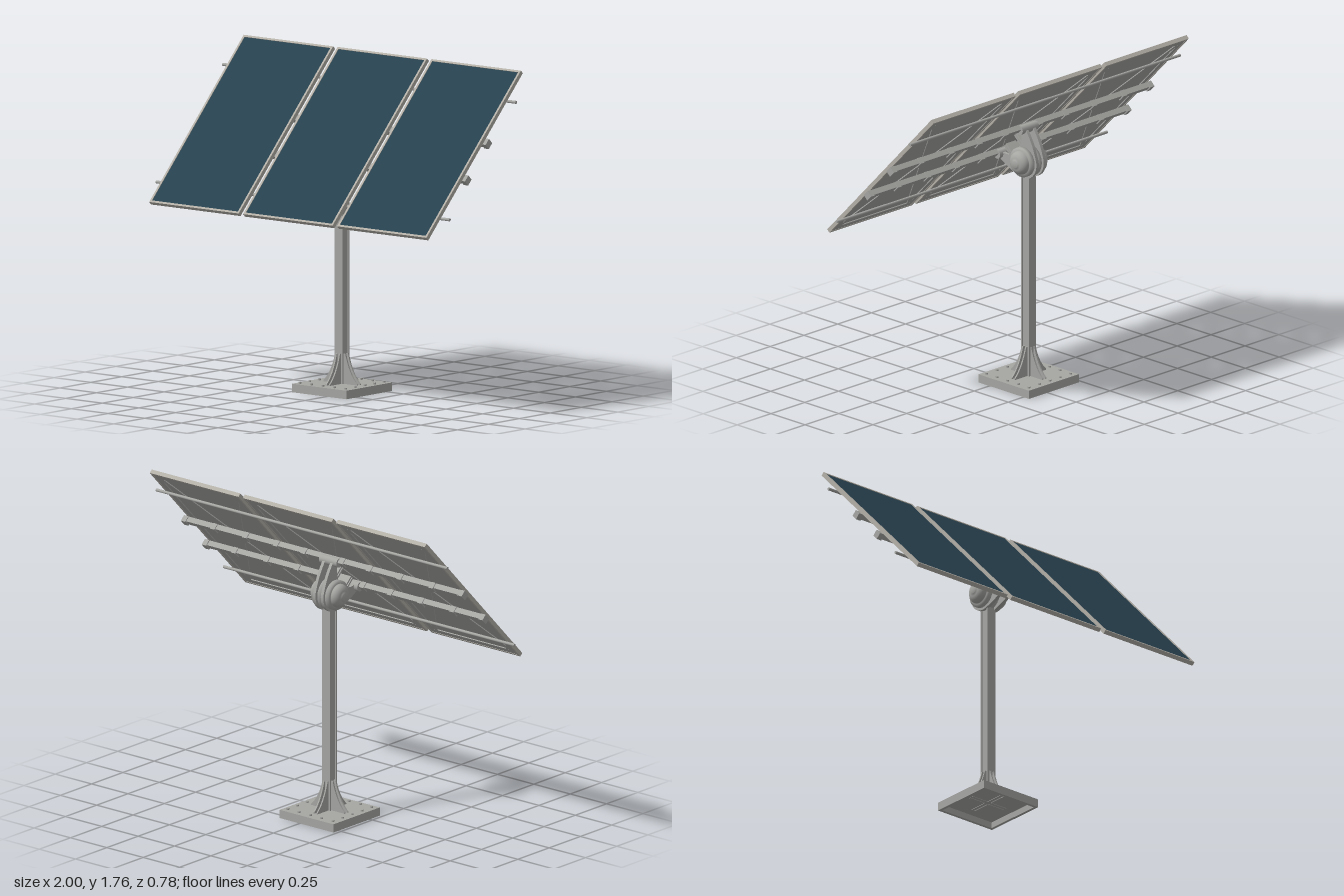
import * as THREE from 'three';

const steel = new THREE.MeshStandardMaterial({ color: 0xa6a6a3 });
steel.name = 'galvanised steel';
const frameMetal = new THREE.MeshStandardMaterial({ color: 0xb4b0a8 });
frameMetal.name = 'frame aluminium';
const glass = new THREE.MeshStandardMaterial({ color: 0x27414e });
glass.name = 'solar glass';

const CX = -0.047, CZ = -0.105, PIVOT_Y = 1.228; // post axis and tilt axis
const TILT = -0.768;

function add(parent, name, geo, mat, x = 0, y = 0, z = 0) {
  const m = new THREE.Mesh(geo, mat);
  m.name = name;
  m.position.set(x, y, z);
  parent.add(m);
  return m;
}
const box = (w, h, d) => new THREE.BoxGeometry(w, h, d);

// Rectangular ring, centred on its own depth
function ring(w, h, rim, depth) {
  const rect = (P, a, b) => new P([[-a, -b], [a, -b], [a, b], [-a, b]].map(p => new THREE.Vector2(...p)));
  const s = rect(THREE.Shape, w / 2, h / 2);
  s.holes.push(rect(THREE.Path, w / 2 - rim, h / 2 - rim));
  return new THREE.ExtrudeGeometry(s, { depth, bevelEnabled: false }).translate(0, 0, -depth / 2);
}

// Hollow foot with bolts, ribs and the beam post
function makePost() {
  const g = new THREE.Group();
  g.name = 'post';
  g.position.set(CX, 0, CZ);
  const W = 0.37, H = 0.045;
  add(g, 'basePlate', box(W, 0.012, W), steel, 0, H - 0.006, 0);
  add(g, 'baseSkirt', ring(W, W, 0.016, H - 0.012).rotateX(Math.PI / 2), steel, 0, (H - 0.012) / 2, 0);

  const bolt = new THREE.CylinderGeometry(0.008, 0.008, 0.01, 6);
  for (let i = 0; i < 4; i++) {
    const side = new THREE.Group();
    side.name = 'baseSide';
    side.rotation.y = i * Math.PI / 2;
    g.add(side);
    for (let k = 0; k < 4; k++) add(side, 'baseBolt', bolt, steel, -0.155 + k * 0.0775, H + 0.004, 0.155);
    // paired ribs with a concave outer edge
    const s = new THREE.Shape();
    s.moveTo(0.015, 0.03);
    s.lineTo(0.115, 0.03);
    s.lineTo(0.115, H + 0.006);
    s.quadraticCurveTo(0.06, 0.1, 0.034, 0.205);
    s.lineTo(0.015, 0.205);
    for (const x of [-0.011, 0.011]) {
      const rib = new THREE.ExtrudeGeometry(s, { depth: 0.008, bevelEnabled: false, curveSegments: 8 });
      add(side, 'baseRib', rib.translate(0, 0, -0.004).rotateY(-Math.PI / 2), steel, x, 0, 0);
    }
  }

  const top = 1.17, h = top - H;
  add(g, 'postWeb', box(0.04, h, 0.05), steel, 0, H + h / 2, 0);
  for (const s of [-1, 1]) add(g, 'postFlange', box(0.055, h, 0.008), steel, 0, H + h / 2, s * 0.024);
  return g;
}

// Tilt drive: drum, discs and domed end caps along x
function makeDrive() {
  const g = new THREE.Group();
  g.name = 'tiltDrive';
  g.position.set(CX, PIVOT_Y, CZ);
  const profile = [[0, -0.106], [0.02, -0.106], [0.02, -0.1]];
  for (let i = 1; i <= 6; i++) {
    const a = i / 6 * Math.PI / 2 * 0.95 + 0.05;
    profile.push([0.02 + 0.043 * Math.sin(a), -0.062 - 0.038 * Math.cos(a)]);
  }
  profile.push([0.063, -0.058], [0.08, -0.058], [0.08, -0.036], [0.066, -0.036], [0.066, -0.012], [0.085, -0.012]);
  const full = [...profile, ...profile.map(([r, y]) => [r, -y]).reverse()];
  const geo = new THREE.LatheGeometry(full.map(p => new THREE.Vector2(...p)), 32);
  add(g, 'driveDrum', geo.rotateZ(Math.PI / 2), steel);
  return g;
}

// One framed panel with a braced back
function makePanel() {
  const g = new THREE.Group();
  g.name = 'solarPanel';
  const W = 0.61, H = 1.1, R = 0.012;
  add(g, 'panelFrame', ring(W, H, R, 0.022), frameMetal);
  add(g, 'panelGlass', box(W - 2 * R, H - 2 * R, 0.006), glass, 0, 0, 0.005);
  add(g, 'panelBack', box(W - 2 * R, H - 2 * R, 0.006), steel, 0, 0, -0.001);
  add(g, 'backBorder', ring(W - 2 * R, H - 2 * R, 0.035, 0.005), steel, 0, 0, -0.0065);
  const w = W - 0.1, h = H - 0.1;
  for (const s of [-1, 1]) {
    const brace = add(g, 'backBrace', box(0.03, Math.hypot(w, h), 0.005), steel, 0, 0, -0.0065);
    brace.rotation.z = s * Math.atan2(w, h);
  }
  return g;
}

// Drive bracket: disc with two arms that hold the rails
function bracketGeometry() {
  const s = new THREE.Shape();
  s.moveTo(0.128, 0.1);
  s.lineTo(0.14, 0.137);
  s.lineTo(0.11, 0.137);
  s.quadraticCurveTo(0.07, 0.13, 0.026, 0.114);
  s.quadraticCurveTo(0, 0.105, -0.045, 0.08);
  s.absarc(0, 0, 0.092, Math.PI - 1.06, Math.PI + 1.06, false);
  s.quadraticCurveTo(0, -0.105, 0.026, -0.114);
  s.quadraticCurveTo(0.07, -0.13, 0.11, -0.137);
  s.lineTo(0.14, -0.137);
  s.lineTo(0.128, -0.1);
  s.quadraticCurveTo(0.095, -0.085, 0.075, -0.045);
  s.quadraticCurveTo(0.055, 0, 0.075, 0.045);
  s.quadraticCurveTo(0.095, 0.085, 0.128, 0.1);
  const geo = new THREE.ExtrudeGeometry(s, { depth: 0.018, bevelEnabled: false, curveSegments: 12 });
  return geo.translate(0, 0, -0.009).rotateY(-Math.PI / 2);
}

// Everything that tilts: panels, rails, rods and bracket
function makeArray() {
  const g = new THREE.Group();
  g.name = 'tiltingArray';
  g.position.y = 1.357;
  g.rotation.x = TILT;

  for (const x of [-0.64, 0, 0.64]) {
    const p = makePanel();
    p.position.x = x;
    g.add(p);
  }
  for (const u of [0.371, -0.402]) {
    const rod = new THREE.CylinderGeometry(0.008, 0.008, 2, 12).rotateZ(Math.PI / 2);
    add(g, 'supportRod', rod, steel, 0, u, -0.019);
  }
  for (const u of [0.101, -0.139]) {
    add(g, 'mainRail', box(1.92, 0.032, 0.03), steel, 0, u, -0.027);
    for (const x of [-0.95, -0.75, -0.53, -0.32, -0.13, 0.13, 0.32, 0.53, 0.75, 0.95])
      add(g, 'railClamp', box(0.03, 0.04, 0.036), steel, x, u, -0.03);
    add(g, 'bracketClamp', new THREE.CylinderGeometry(0.025, 0.025, 0.12, 16).rotateZ(Math.PI / 2),
      steel, CX, u, -0.037);
  }
  const bracket = bracketGeometry();
  for (const s of [-1, 1]) {
    add(g, 'driveBracket', bracket, steel, CX + s * 0.027, -0.02, -0.166);
    for (const d of [-0.008, 0.008])
      add(g, 'bracketStud', box(0.07, 0.009, 0.07), steel, CX, -0.02 + s * 0.053 + d, -0.06);
  }
  return g;
}

export function createModel() {
  const model = new THREE.Group();
  model.name = 'solarTracker';
  model.add(makePost(), makeDrive(), makeArray());
  return model;
}
